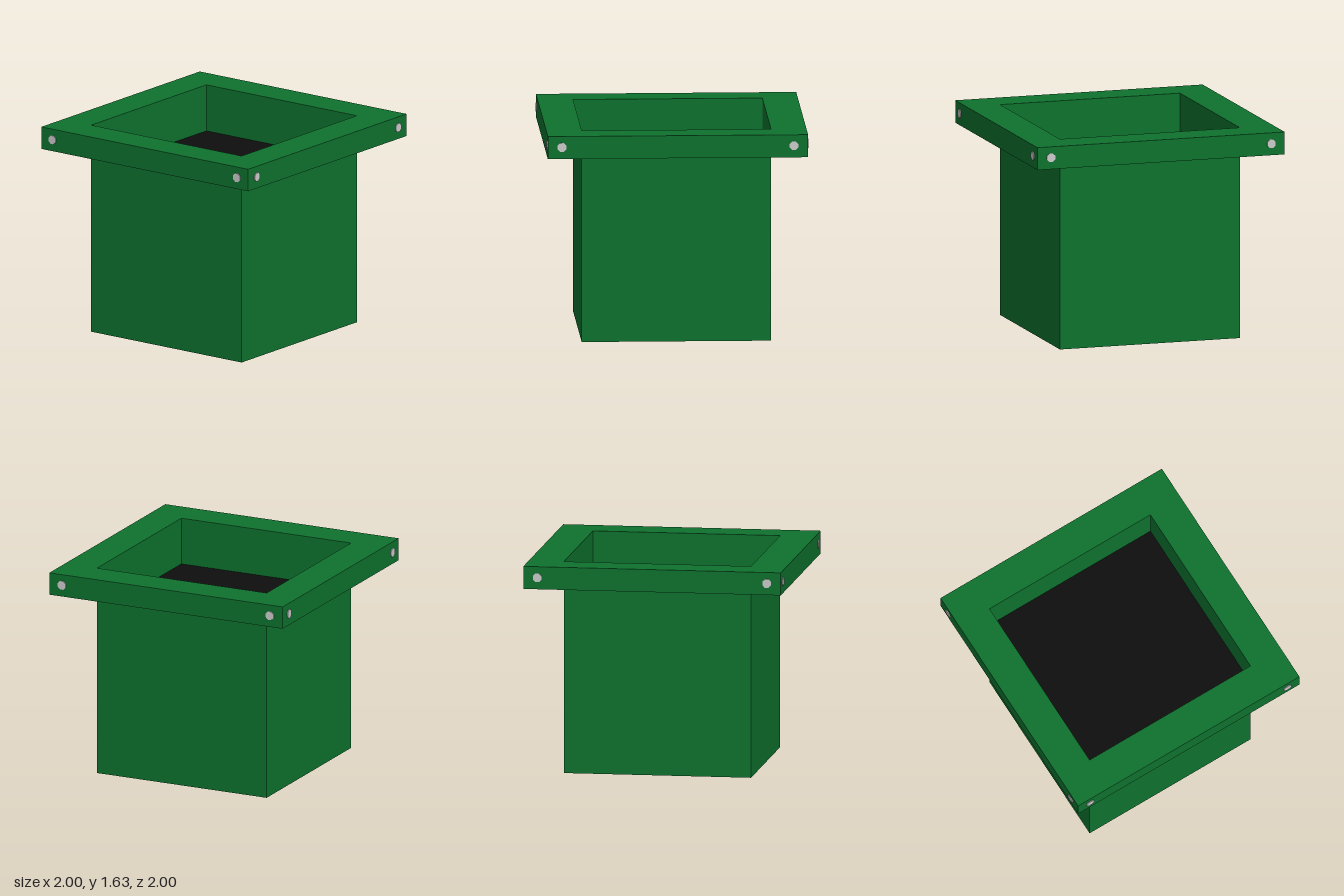
import * as THREE from 'three';

const INNER = 0.722;   // half width of the box body and of the rim opening
const OUTER = 0.993;   // half width of the rim
const RIM_Y = 1.46, TOP_Y = 1.634, SOIL_Y = 1.27;

const mat = (color, side = THREE.FrontSide) =>
  new THREE.MeshStandardMaterial({ color, side, flatShading: true });

function square(Type, h) {
  const s = new Type();
  s.moveTo(-h, -h);
  s.lineTo(h, -h);
  s.lineTo(h, h);
  s.lineTo(-h, h);
  s.closePath();
  return s;
}

export function createModel() {
  const model = new THREE.Group();
  const green = mat(0x0e722e);
  const greenThin = mat(0x0e722e, THREE.DoubleSide);
  const black = mat(0x0e0e0e, THREE.DoubleSide);
  const grey = mat(0xcccccc);

  const add = (name, geometry, material, parent = model) => {
    const mesh = new THREE.Mesh(geometry, material);
    mesh.name = name;
    parent.add(mesh);
    return mesh;
  };

  // Thin-walled square body, open at the top
  const r = INNER * Math.SQRT2;
  const walls = new THREE.CylinderGeometry(r, r, RIM_Y, 4, 1, true, Math.PI / 4);
  add('bodyWalls', walls.translate(0, RIM_Y / 2, 0), greenThin);

  // Base and soil close the body below and inside
  const floor = (y) => new THREE.PlaneGeometry(2 * INNER, 2 * INNER)
    .rotateX(-Math.PI / 2).translate(0, y, 0);
  add('base', floor(0), greenThin);
  add('soil', floor(SOIL_Y), black);

  // Wide square rim with a square opening
  const shape = square(THREE.Shape, OUTER);
  shape.holes.push(square(THREE.Path, INNER));
  const rim = new THREE.ExtrudeGeometry(shape, { depth: TOP_Y - RIM_Y, bevelEnabled: false });
  add('rim', rim.rotateX(-Math.PI / 2).translate(0, RIM_Y, 0), green);

  // Two eight-sided rivets near the ends of each rim side
  const rivet = new THREE.CylinderGeometry(0.036, 0.036, 0.02, 8, 1, false, Math.PI / 8)
    .rotateX(Math.PI / 2);
  for (let i = 0; i < 4; i++) {
    const side = new THREE.Group();
    side.name = 'rivetPair';
    side.rotation.y = i * Math.PI / 2;
    for (const x of [-0.885, 0.885]) {
      add('rivet', rivet, grey, side).position.set(x, 1.55, 0.99);
    }
    model.add(side);
  }

  return model;
}
